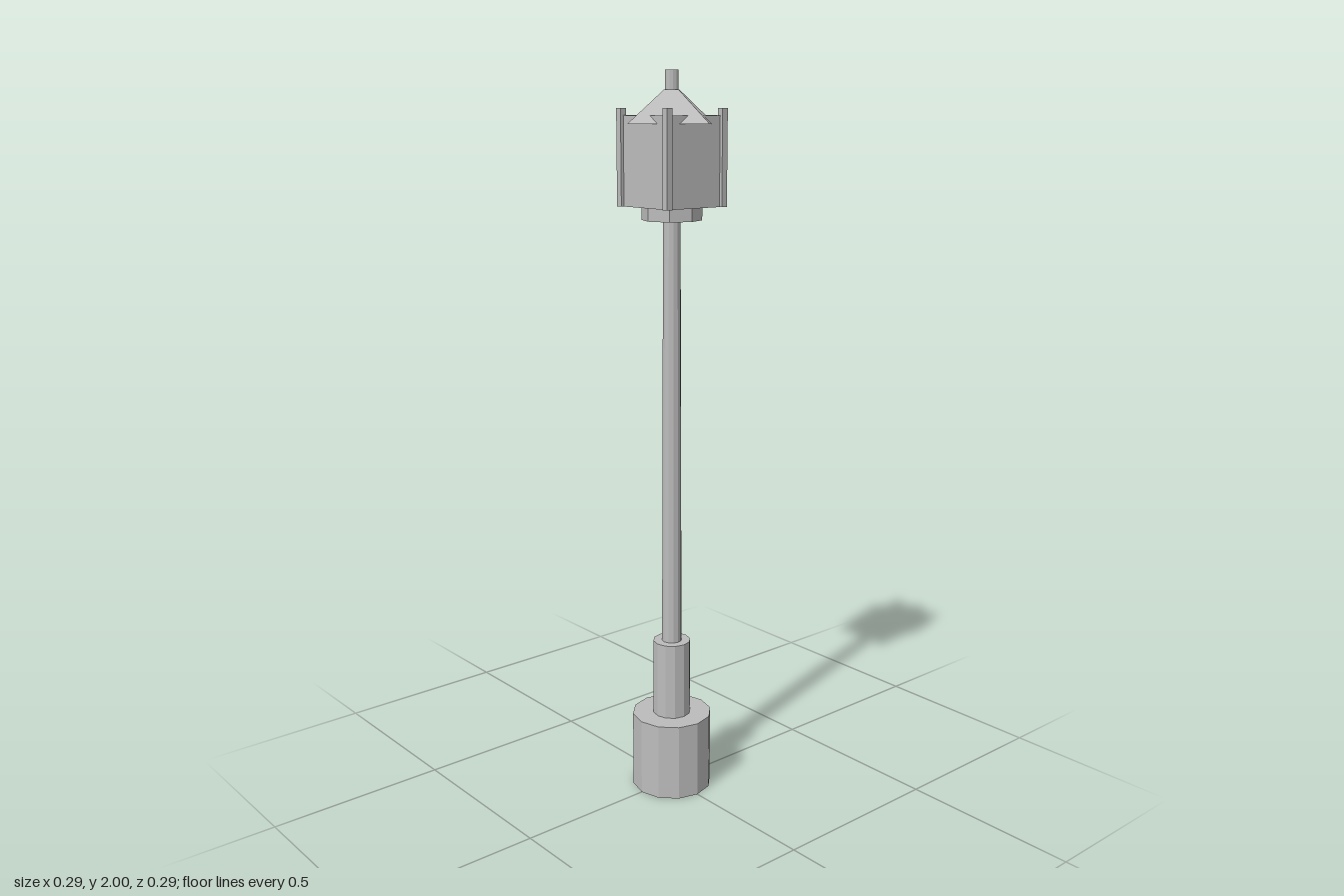
import * as THREE from 'three';

export function createModel() {
  const model = new THREE.Group();
  model.name = 'streetLamp';
  const grey = new THREE.MeshStandardMaterial({ color: 0xbcbcbc, flatShading: true });
  grey.name = 'grey';

  function add(name, geometry, x, y, z) {
    const mesh = new THREE.Mesh(geometry, grey);
    mesh.name = name;
    mesh.position.set(x, y, z);
    model.add(mesh);
  }
  // Upright prism or frustum between two heights
  function column(name, bottomRadius, topRadius, y0, y1, sides) {
    add(name, new THREE.CylinderGeometry(topRadius, bottomRadius, y1 - y0, sides), 0, (y0 + y1) / 2, 0);
  }

  // Pedestal and tapering pole
  column('base', 0.113, 0.113, 0, 0.22, 12);
  column('sleeve', 0.053, 0.053, 0.22, 0.44, 12);
  column('pole', 0.028, 0.0235, 0.44, 1.62, 12);

  // Lantern: collar, square body and corner posts
  column('collar', 0.08, 0.08, 1.62, 1.657, 8);
  add('lanternBody', new THREE.BoxGeometry(0.186, 0.232, 0.186), 0, 1.771, 0);
  for (const x of [-1, 1]) {
    for (const z of [-1, 1]) {
      add('cornerPost', new THREE.BoxGeometry(0.018, 0.25, 0.018), x * 0.093, 1.78, z * 0.093);
    }
  }

  // Roof turned by 45 degrees, with a finial
  column('roof', 0.147, 0.026, 1.866, 1.951, 4);
  column('finial', 0.018, 0.018, 1.951, 2, 12);
  return model;
}
